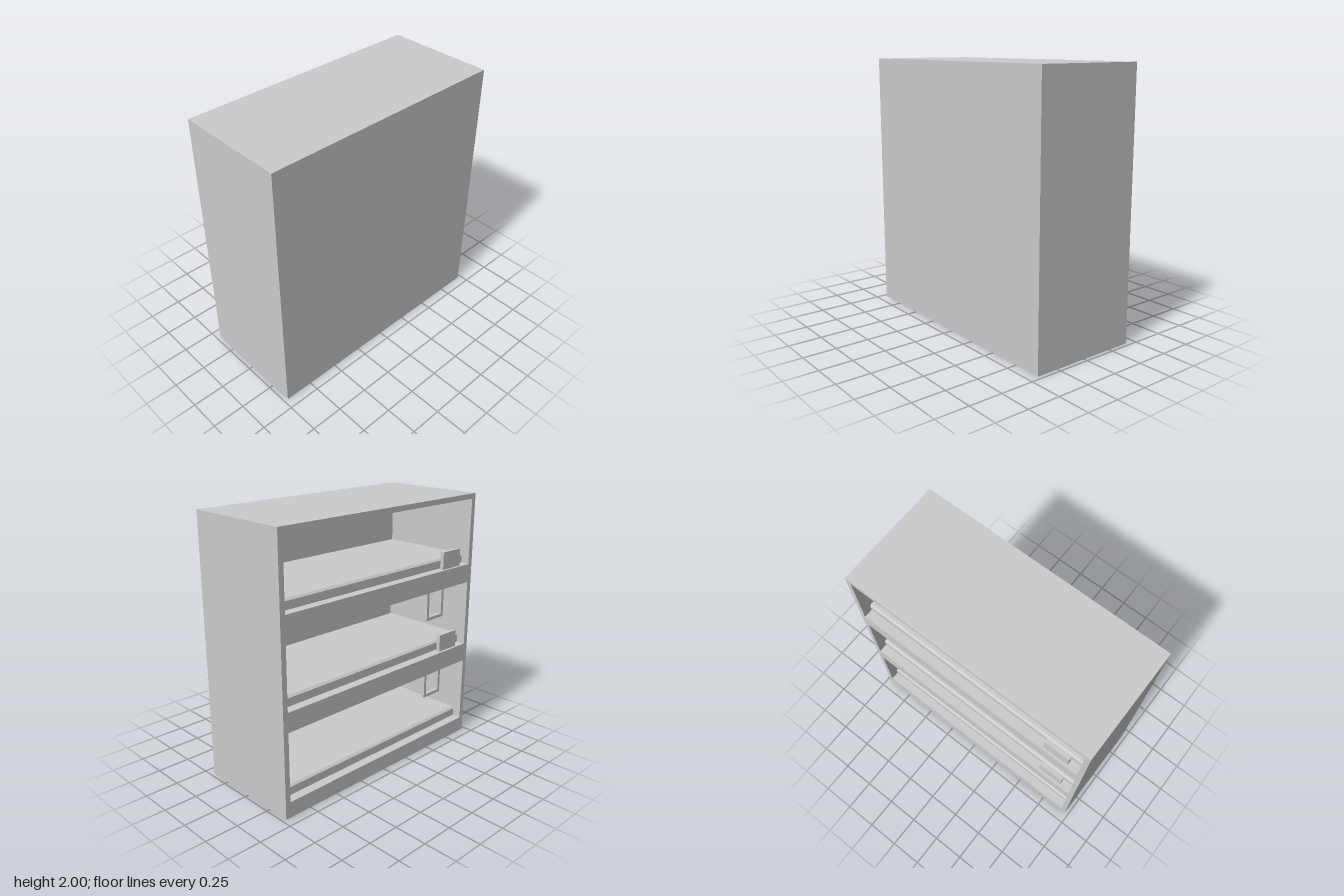
import * as THREE from 'three';

const W = 0.85, H = 2, D = 1.94, T = 0.04;      // case size and panel thickness
const FRONT = -W / 2;                            // open side of the case
const INNER_X = W / 2 - T, INNER_Z = D / 2 - T;  // inner faces of the panels

export function createModel() {
  const group = new THREE.Group();
  const material = new THREE.MeshStandardMaterial({ color: 0xcccccc, flatShading: true });

  const add = (name, geometry, parent = group) => {
    const mesh = new THREE.Mesh(geometry, material);
    mesh.name = name;
    parent.add(mesh);
    return mesh;
  };
  // Box given by its lower and upper limits on each axis
  const box = (name, [x0, x1], [y0, y1], [z0, z1], parent) =>
    add(name, new THREE.BoxGeometry(x1 - x0, y1 - y0, z1 - z0), parent)
      .position.set((x0 + x1) / 2, (y0 + y1) / 2, (z0 + z1) / 2);

  // Case, open towards -x
  const fullZ = [-D / 2, D / 2], innerZ = [-INNER_Z, INNER_Z];
  box('roofPanel', [FRONT, W / 2], [H - T, H], fullZ);
  box('backPanel', [INNER_X, W / 2], [0, H - T], fullZ);
  box('endPanelRear', [FRONT, INNER_X], [0, H - T], [-D / 2, -INNER_Z]);
  box('endPanelFront', [FRONT, INNER_X], [0, H - T], [INNER_Z, D / 2]);

  // Mattress section with a chamfered outer edge, run along z
  const mattressGeometry = () => {
    const x = FRONT + 0.07, h = 0.075, c = 0.015;
    const section = new THREE.Shape([
      [x, 0], [INNER_X, 0], [INNER_X, h], [x + c, h], [x, h - c],
    ].map(([a, b]) => new THREE.Vector2(a, b)));
    return new THREE.ExtrudeGeometry(section, { depth: 2 * INNER_Z, bevelEnabled: false })
      .translate(0, 0, -INNER_Z);
  };

  // Three berths, one above the other
  [[0, 0.12], [0.64, 0.785], [1.305, 1.45]].forEach(([bottom, top], i) => {
    const berth = new THREE.Group();
    berth.name = 'berth' + (i + 1);
    group.add(berth);
    box('bedBase', [FRONT, INNER_X], [bottom, top], innerZ, berth);
    add('mattress', mattressGeometry(), berth).position.y = top;
    if (i === 0) return;

    // Guard plate on the ledge and hanging step frame below the upper berths
    const z0 = 0.64, z1 = 0.84, bar = 0.025;
    box('guardPlate', [FRONT + 0.02, FRONT + 0.05], [top, top + 0.135], [z0, z1], berth);
    const frameX = [FRONT + 0.16, FRONT + 0.19], low = bottom - 0.3;
    box('stepFrameSide', frameX, [low, bottom], [z0, z0 + bar], berth);
    box('stepFrameSide', frameX, [low, bottom], [z1 - bar, z1], berth);
    box('stepFrameRung', frameX, [low, low + bar], [z0 + bar, z1 - bar], berth);
  });

  return group;
}
